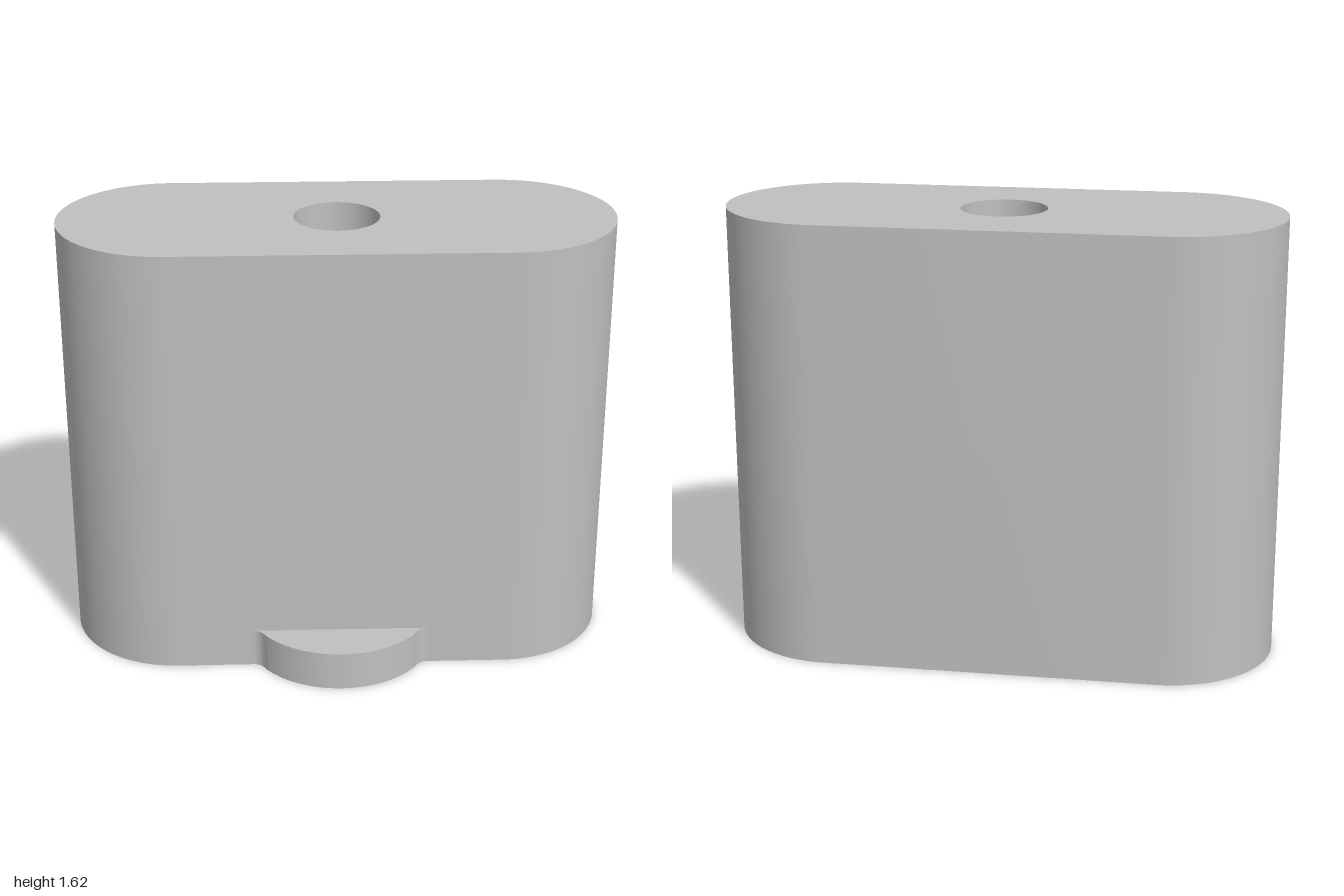
import * as THREE from 'three';
import { toCreasedNormals } from 'three/addons/utils/BufferGeometryUtils.js';

const HEIGHT = 1.615, END_R = 0.3975, END_X = 0.6025, CENTER_Z = -0.0875;
const FRONT_Z = CENTER_Z + END_R;
const TOP_HOLE_R = 0.155, BORE_R = 0.27, BORE_DEPTH = 1.0;

// Plan outlines are drawn with shape y = -z, then laid flat.
function stadium(holeRadius) {
  const s = new THREE.Shape();
  s.absarc(END_X, -CENTER_Z, END_R, -Math.PI / 2, Math.PI / 2, false);
  s.absarc(-END_X, -CENTER_Z, END_R, Math.PI / 2, Math.PI * 1.5, false);
  s.closePath();
  if (holeRadius) {
    s.holes.push(new THREE.Path().absarc(0, -CENTER_Z, holeRadius, 0, Math.PI * 2, true));
  }
  return s;
}

// Extruded side walls only, without the end caps
function wallGeometry(shape, height) {
  const full = new THREE.ExtrudeGeometry(shape, { depth: height, bevelEnabled: false, curveSegments: 40 });
  const sides = full.groups[1];
  const pos = full.attributes.position.array.slice(sides.start * 3, (sides.start + sides.count) * 3);
  const geo = new THREE.BufferGeometry();
  geo.setAttribute('position', new THREE.BufferAttribute(pos, 3));
  geo.rotateX(-Math.PI / 2);
  return toCreasedNormals(geo, 0.5);
}

export function createModel() {
  const group = new THREE.Group();
  const grey = new THREE.MeshStandardMaterial({ color: 0xc0c0c0 });
  grey.name = 'grey';
  const add = (name, geo) => {
    const mesh = new THREE.Mesh(geo, grey);
    mesh.name = name;
    group.add(mesh);
    return mesh;
  };

  // Rounded block: wall, top and underside
  add('bodyWall', wallGeometry(stadium(), HEIGHT));
  add('bodyTop', new THREE.ShapeGeometry(stadium(TOP_HOLE_R), 40).rotateX(-Math.PI / 2)).position.y = HEIGHT;
  add('bodyUnderside', new THREE.ShapeGeometry(stadium(BORE_R), 40).rotateX(Math.PI / 2).scale(1, 1, 1)
    .translate(0, 0, 2 * CENTER_Z));

  // Stepped bore, narrow at the top and wide below
  const profile = [
    [TOP_HOLE_R, HEIGHT], [TOP_HOLE_R, BORE_DEPTH], [BORE_R, BORE_DEPTH], [BORE_R, 0],
  ].map(([r, y]) => new THREE.Vector2(r, y));
  add('steppedBore', toCreasedNormals(new THREE.LatheGeometry(profile, 80), 0.5)).position.z = CENTER_Z;

  // Low curved tab on the front with small flared corners
  const r = 0.343, cy = -0.142, a = Math.asin(0.275 / r);
  const ex = r * Math.sin(a), ey = cy - r * Math.cos(a);
  const tab = new THREE.Shape();
  tab.moveTo(-0.32, -FRONT_Z);
  tab.quadraticCurveTo(-0.295, -FRONT_Z, -ex, ey);
  tab.absarc(0, cy, r, -Math.PI / 2 - a, -Math.PI / 2 + a, false);
  tab.quadraticCurveTo(0.295, -FRONT_Z, 0.32, -FRONT_Z);
  tab.closePath();
  const tabGeo = new THREE.ExtrudeGeometry(tab, { depth: 0.145, bevelEnabled: false, curveSegments: 24 });
  add('frontTab', toCreasedNormals(tabGeo.rotateX(-Math.PI / 2), 0.6));

  return group;
}
